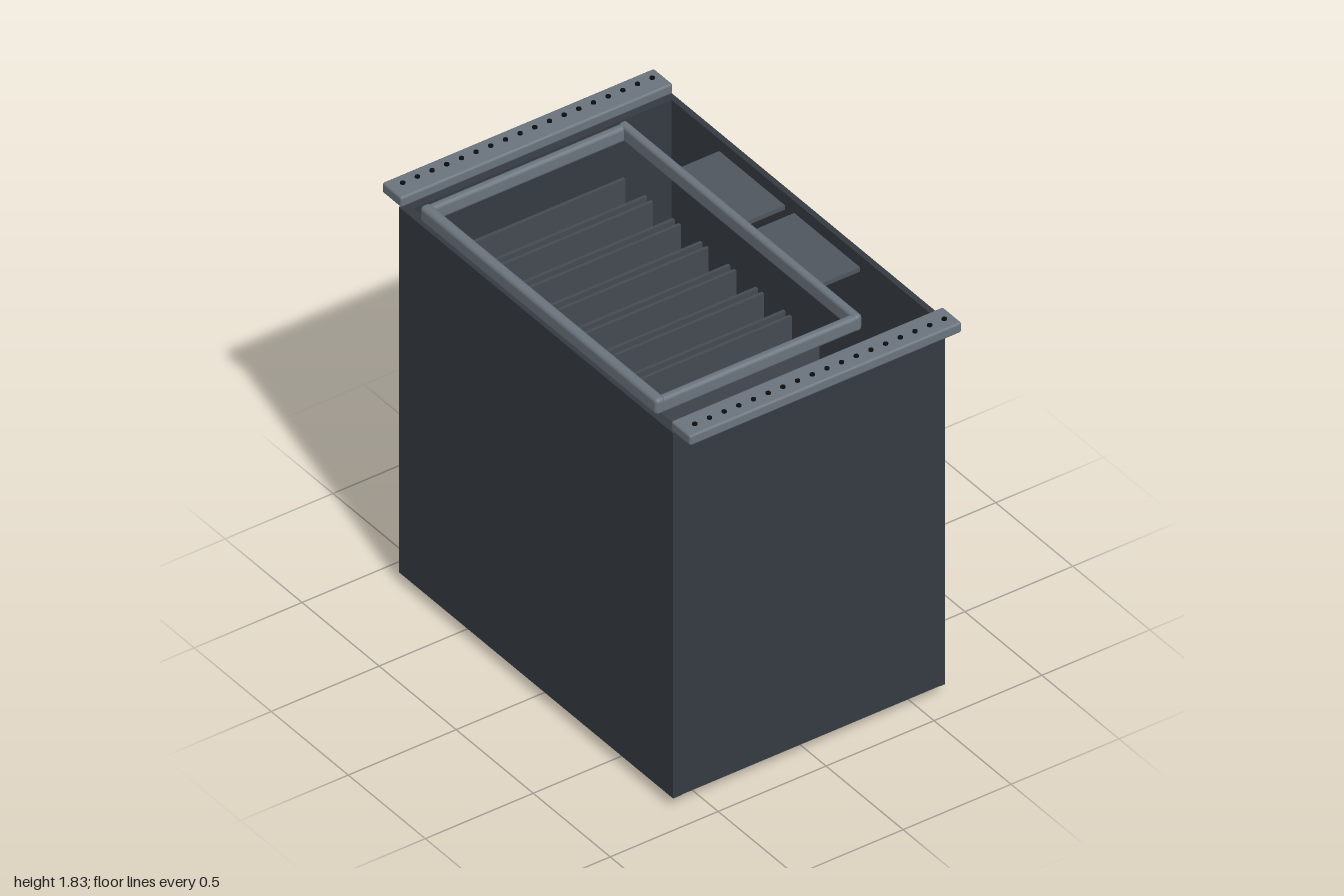
import * as THREE from 'three';
import { RoundedBoxGeometry } from 'three/addons/geometries/RoundedBoxGeometry.js';

const mat = (color) => new THREE.MeshStandardMaterial({ color });

export function createModel() {
  const root = new THREE.Group();
  const shell = mat(0x363b42), inner = mat(0x444b52), metal = mat(0x6b747e);
  const pad = mat(0x50575e), dark = mat(0x0c0d0f);

  // Box given by its min and max corners; a radius rounds the edges
  function box(name, material, [x0, y0, z0], [x1, y1, z1], radius = 0) {
    const size = [x1 - x0, y1 - y0, z1 - z0];
    const geo = radius ? new RoundedBoxGeometry(...size, 3, radius) : new THREE.BoxGeometry(...size);
    const mesh = new THREE.Mesh(geo, material);
    mesh.position.set((x0 + x1) / 2, (y0 + y1) / 2, (z0 + z1) / 2);
    mesh.name = name;
    root.add(mesh);
    return mesh;
  }

  // Foot: a slab whose bottom tapers inward
  function foot(name, x0, x1, z0, z1) {
    const mesh = box(name, shell, [x0, 0, z0], [x1, 0.05, z1]);
    const p = mesh.geometry.attributes.position;
    for (let i = 0; i < p.count; i++) {
      if (p.getY(i) < 0) {
        p.setX(i, p.getX(i) - Math.sign(p.getX(i)) * 0.015);
        p.setZ(i, p.getZ(i) - Math.sign(p.getZ(i)) * 0.015);
      }
    }
    mesh.geometry = mesh.geometry.toNonIndexed();
    mesh.geometry.computeVertexNormals();
  }

  // Open-topped case
  box('frontPanel', shell, [-0.89, 0.05, 0.59], [0.89, 1.755, 0.63]);
  box('backPanel', shell, [-0.89, 0.05, -0.63], [0.89, 1.755, -0.605]);
  box('floor', inner, [-0.85, 0.06, -0.575], [0.85, 0.09, 0.57]);

  // Side walls and drilled mounting rails
  const holeGeo = new THREE.CylinderGeometry(0.01, 0.01, 0.014, 12);
  for (const s of [1, -1]) {
    const side = s > 0 ? 'left' : 'right';
    const span = (a, b) => (s > 0 ? [a, b] : [-b, -a]);
    const [w0, w1] = span(0.85, 0.888);
    box(side + 'Wall', shell, [w0, 0.05, -0.605], [w1, 1.755, 0.59]);
    const [r0, r1] = span(0.875, 1.0);
    box(side + 'Rail', metal, [r0, 1.757, -0.63], [r1, 1.805, 0.63], 0.01);
    for (let i = 0; i < 18; i++) {
      const stud = new THREE.Mesh(holeGeo, dark);
      stud.name = side + 'RailStud';
      stud.position.set(s * 0.948, 1.805, -0.585 + i * 0.068);
      root.add(stud);
    }
    // Side bars of the top frame
    const [f0, f1] = span(0.73, 0.768);
    box(side + 'FrameBar', metal, [f0, 1.755, -0.32], [f1, 1.825, 0.6], 0.016);
    // Flat pads behind the frame
    const [p0, p1] = span(0.03, 0.457);
    box(side + 'BackPad', pad, [p0, 1.755, -0.545], [p1, 1.775, -0.32]);
  }

  // Front and back bars of the top frame
  box('frontFrameBar', metal, [-0.77, 1.755, 0.575], [0.77, 1.83, 0.622], 0.018);
  box('backFrameBar', metal, [-0.77, 1.755, -0.335], [0.77, 1.83, -0.298], 0.016);

  // Row of paired upright dividers inside the case
  for (let i = 0; i <= 8; i++) {
    const x = -0.728 + i * 0.18;
    for (const d of [-0.02, 0.02]) {
      if ((i === 0 && d < 0) || (i === 8 && d > 0)) continue;
      box('divider', inner, [x + d - 0.007, 0.09, -0.285], [x + d + 0.007, 1.61, 0.56]);
    }
  }

  // One long foot at the front, three short ones at the back
  foot('frontFoot', -0.77, 0.77, 0.27, 0.555);
  for (const x of [-0.47, 0, 0.47]) foot('backFoot', x - 0.215, x + 0.215, -0.57, -0.325);

  return root;
}
